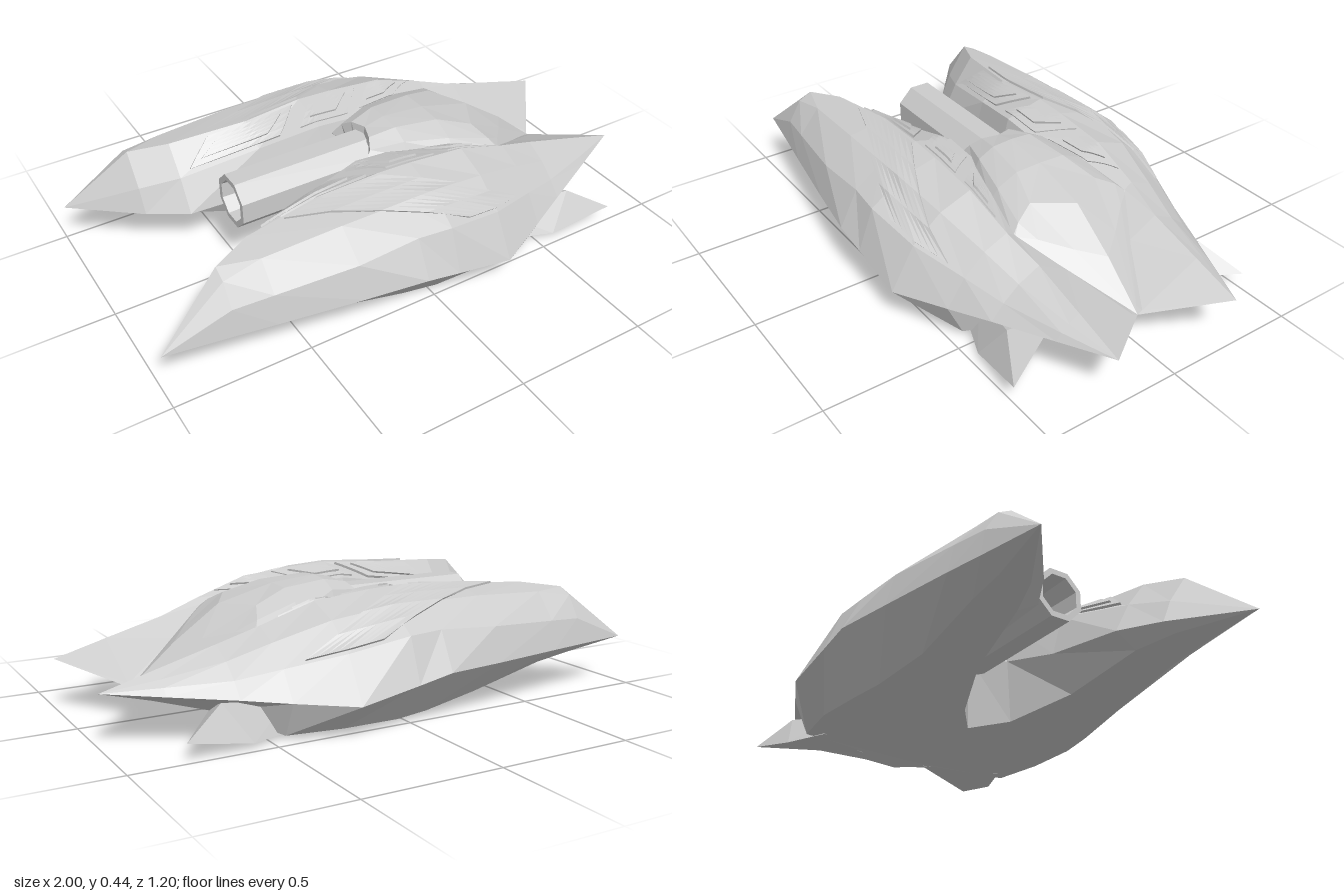
import * as THREE from 'three';
import { ConvexGeometry } from 'three/addons/geometries/ConvexGeometry.js';

const material = new THREE.MeshStandardMaterial({ color: 0xcccccc, flatShading: true });
const openMaterial = new THREE.MeshStandardMaterial({ color: 0xcccccc, flatShading: true, side: THREE.DoubleSide });

// Side hull sections: x, then eight [y, z] pairs running
// inner rim, inner top, ridge, shoulder, flank, outer rim, outer belly, inner belly
const rearSections = [
  [-1, ...Array(8).fill([0.18, 0.445]).flat()],
  [-0.76, 0.18, 0.25, 0.27, 0.29, 0.385, 0.37, 0.36, 0.42, 0.28, 0.47, 0.183, 0.487, 0.14, 0.42, 0.15, 0.3],
  [-0.62, 0.18, 0.165, 0.3, 0.23, 0.405, 0.31, 0.385, 0.41, 0.29, 0.49, 0.185, 0.513, 0.12, 0.42, 0.13, 0.25],
  [-0.33, 0.2, 0.125, 0.36, 0.17, 0.425, 0.27, 0.4, 0.42, 0.31, 0.53, 0.187, 0.563, 0.05, 0.42, 0.06, 0.2],
  [-0.1, 0.25, 0.09, 0.4, 0.13, 0.44, 0.28, 0.4, 0.42, 0.325, 0.53, 0.19, 0.6, 0.02, 0.45, 0.01, 0.1],
];
const foreSections = [
  [0.03, 0.3, 0, 0.39, 0.13, 0.435, 0.28, 0.4, 0.42, 0.32, 0.54, 0.165, 0.6, 0.015, 0.47, 0.005, 0],
  [0.25, 0.3, 0, 0.37, 0.19, 0.415, 0.28, 0.37, 0.4, 0.28, 0.51, 0.125, 0.6, 0.02, 0.48, 0.005, 0],
  [0.45, 0.25, 0, 0.33, 0.24, 0.35, 0.27, 0.31, 0.36, 0.24, 0.44, 0.142, 0.507, 0.02, 0.45, 0.005, 0],
  [0.6, 0.15, 0, 0.24, 0.14, 0.3, 0.25, 0.26, 0.33, 0.21, 0.39, 0.157, 0.437, 0.06, 0.2, 0.055, 0],
  [0.81, 0.12, 0, 0.13, 0.02, 0.243, 0.25, 0.22, 0.29, 0.2, 0.32, 0.174, 0.339, 0.127, 0.2, 0.12, 0],
  [1, ...Array(8).fill([0.19, 0.25]).flat()],
];
const sections = [...rearSections, ...foreSections].map((s) =>
  Array.from({ length: 8 }, (_, j) => new THREE.Vector3(s[0], s[1 + 2 * j], s[2 + 2 * j])));

// Skin a grid of points; side = -1 mirrors it across z
function skin(rows, side, closed = false) {
  const pos = [];
  const cols = rows[0].length;
  const flip = new THREE.Vector3(1, 1, side);
  const tri = (...p) => {
    if (new THREE.Triangle(...p).getArea() < 1e-8) return;
    if (side < 0) p.reverse();
    p.forEach((v) => pos.push(...v.clone().multiply(flip).toArray()));
  };
  for (let i = 0; i < rows.length - 1; i++) {
    for (let j = 0; j < (closed ? cols : cols - 1); j++) {
      const k = (j + 1) % cols;
      const a = rows[i][j], b = rows[i][k], c = rows[i + 1][k], d = rows[i + 1][j];
      tri(a, b, c);
      tri(a, c, d);
    }
  }
  const geometry = new THREE.BufferGeometry();
  geometry.setAttribute('position', new THREE.Float32BufferAttribute(pos, 3));
  geometry.computeVertexNormals();
  return geometry;
}

// Point on the hull at length x and section position v, lifted by h
function onHull(x, v, h) {
  let i = 0;
  while (i < sections.length - 2 && sections[i + 1][0].x < x) i++;
  const t = (x - sections[i][0].x) / (sections[i + 1][0].x - sections[i][0].x);
  const j = Math.floor(v);
  const edge = (k) => sections[i][k].clone().lerp(sections[i + 1][k], t);
  const a = edge(j), b = edge(j + 1);
  const along = b.clone().sub(a).normalize();
  return a.lerp(b, v - j).add(new THREE.Vector3(0, along.z, -along.y).multiplyScalar(h));
}

// Raised plate: [start, end] in x at section position va and at vb
function plate([a0, a1], [b0, b1], va, vb, h, side) {
  const n = 8, m = 4;
  const clamp = (i, max) => THREE.MathUtils.clamp((i - 1) / max, 0, 1);
  const rows = [];
  for (let i = 0; i < n + 3; i++) {
    const row = [];
    for (let j = 0; j < m + 3; j++) {
      const u = clamp(i, n), w = clamp(j, m);
      const border = i === 0 || j === 0 || i === n + 2 || j === m + 2;
      const x = THREE.MathUtils.lerp(a0 + (a1 - a0) * u, b0 + (b1 - b0) * u, w);
      row.push(onHull(x, va + (vb - va) * w, border ? -0.004 : h));
    }
    rows.push(row);
  }
  return skin(rows, side);
}

// Central canopy, each row running from the centreline outward
const canopyRows = [
  [[0, 0.3, 0], [0, 0.3, 0.05], [0, 0.3, 0.09], [0, 0.28, 0.12]],
  [[0.02, 0.43, 0], [0, 0.425, 0.06], [-0.02, 0.4, 0.1], [-0.05, 0.36, 0.12]],
  [[0.1, 0.45, 0], [0.1, 0.445, 0.08], [0.1, 0.415, 0.14], [0.1, 0.365, 0.165]],
  [[0.27, 0.435, 0], [0.27, 0.432, 0.1], [0.27, 0.395, 0.18], [0.27, 0.355, 0.21]],
  [[0.48, 0.38, 0], [0.4, 0.39, 0.14], [0.43, 0.355, 0.21], [0.45, 0.325, 0.245]],
  [[0.65, 0.26, 0], [0.58, 0.285, 0.09], [0.5, 0.315, 0.18], [0.455, 0.325, 0.24]],
  Array(4).fill([0.81, 0.122, 0]),
].map((row) => row.map((p) => new THREE.Vector3(...p)));

export function createModel() {
  const model = new THREE.Group();
  const add = (name, geometry, mat = material) => {
    const mesh = new THREE.Mesh(geometry, mat);
    mesh.name = name;
    model.add(mesh);
  };

  for (const side of [1, -1]) {
    const label = side > 0 ? 'front' : 'rear';
    add(`${label}SideHull`, skin(sections, side, true));
    add(`${label}CanopyHalf`, skin(canopyRows, side));

    // Deck panels, each with a smaller raised inset
    const panels = [[-0.58, -0.24, 0.1], [-0.16, 0.04, 0.1], [0.1, 0.28, 0.1]];
    panels.forEach(([x0, x1, skew], i) => {
      add(`${label}DeckPanel${i + 1}`,
        plate([x0, x1], [x0 + skew, x1 + skew], 1.15, 1.9, 0.006, side));
      add(`${label}DeckInset${i + 1}`,
        plate([x0 + 0.05, x1 - 0.04], [x0 + skew + 0.03, x1 + skew - 0.06], 1.32, 1.75, 0.014, side));
    });

    // Slanted flank armour
    add(`${label}FlankArmour`, plate([-0.48, -0.1], [0.12, 0.38], 2.1, 3.9, 0.008, side));

    // Lower forward fin
    const fin = [[0.81, 0.07, 0.5], [0.66, 0.155, 0.42], [0.58, 0.05, 0.14],
      [0.57, 0.02, 0.47], [0.4, 0.1, 0.35], [0.4, 0.015, 0.4]];
    add(`${label}LowerFin`, new ConvexGeometry(fin.map(([x, y, z]) => new THREE.Vector3(x, y, z * side))));
  }

  // Hollow octagonal tail engine
  const profile = [[0.1, 0.06], [0.1, -0.53], [0.078, -0.53], [0.07, -0.35], [0, -0.35]];
  const engine = new THREE.LatheGeometry(profile.map(([r, l]) => new THREE.Vector2(r, l)), 8, Math.PI / 8);
  engine.rotateZ(-Math.PI / 2).translate(0, 0.31, 0);
  add('tailEngine', engine, openMaterial);

  return model;
}
